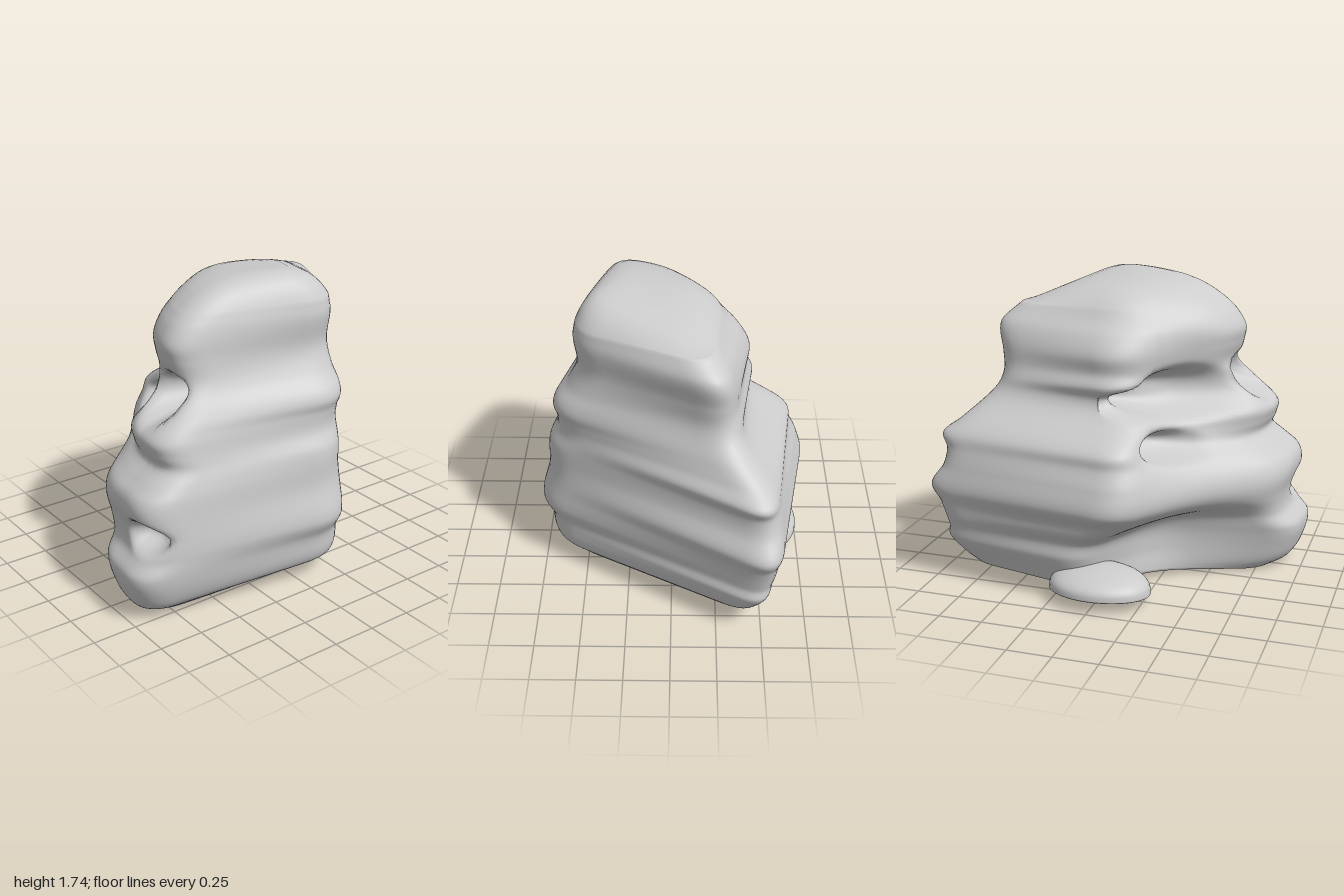
import * as THREE from 'three';

// Smooth lookup in a table of [height, value]
function sample(table, y) {
  const n = table.length;
  if (y <= table[0][0]) return table[0][1];
  if (y >= table[n - 1][0]) return table[n - 1][1];
  let i = 0;
  while (table[i + 1][0] < y) i++;
  const slope = (a, b) => (table[b][1] - table[a][1]) / (table[b][0] - table[a][0]);
  const m0 = i > 0 ? slope(i - 1, i + 1) : slope(i, i + 1);
  const m1 = i < n - 2 ? slope(i, i + 2) : slope(i, i + 1);
  const h = table[i + 1][0] - table[i][0];
  const t = (y - table[i][0]) / h, t2 = t * t, t3 = t2 * t;
  return table[i][1] * (2 * t3 - 3 * t2 + 1) + h * m0 * (t3 - 2 * t2 + t)
    + table[i + 1][1] * (3 * t2 - 2 * t3) + h * m1 * (t3 - t2);
}

// Reach of each corner of the weathered block, by height
const backZ = [[0, -0.78], [0.06, -0.85], [0.22, -0.92], [0.32, -0.91], [0.48, -0.95], [0.58, -1.0],
  [0.7, -0.92], [0.8, -0.9], [0.88, -0.93], [0.95, -0.84], [1.1, -0.68], [1.2, -0.63], [1.32, -0.64], [1.48, -0.66], [1.58, -0.56]];
const rightX = [[0, 0.56], [0.08, 0.67], [0.28, 0.7], [0.4, 0.75], [0.6, 0.7], [0.8, 0.69], [0.9, 0.64],
  [1.0, 0.64], [1.06, 0.66], [1.12, 0.64], [1.2, 0.57], [1.33, 0.51], [1.5, 0.53], [1.58, 0.52]];
const frontZ = [[0, 0.84], [0.06, 0.93], [0.15, 0.98], [0.28, 1.0], [0.37, 0.93], [0.48, 0.92], [0.62, 0.95], [0.7, 0.93],
  [0.76, 0.86], [0.83, 0.78], [0.9, 0.8], [0.98, 0.81], [1.1, 0.7], [1.23, 0.6], [1.35, 0.62], [1.43, 0.63], [1.52, 0.58], [1.58, 0.52]];
const leftX = [[0, -0.52], [0.2, -0.58], [0.32, -0.58], [0.4, -0.64], [0.47, -0.67], [0.56, -0.75], [0.7, -0.72], [0.8, -0.67],
  [0.88, -0.65], [1.0, -0.47], [1.06, -0.41], [1.12, -0.4], [1.18, -0.44], [1.25, -0.41], [1.35, -0.42], [1.45, -0.36], [1.52, -0.29], [1.58, -0.25]];
const backX = [[0, -0.46], [0.2, -0.53], [0.58, -0.57], [0.9, -0.53], [1.1, -0.38], [1.25, -0.33], [1.48, -0.29], [1.58, -0.22]];
const rightZ = [[0, -0.22], [0.8, -0.22], [1.1, -0.27], [1.58, -0.28]];
const frontX = [[0, 0.45], [0.1, 0.53], [0.3, 0.58], [0.65, 0.56], [0.95, 0.5], [1.25, 0.4], [1.58, 0.34]];
const shoulderX = [[0, 0.15], [0.25, 0.11], [0.42, 0.04], [0.55, 0.03], [0.75, 0.09], [1.0, 0.1], [1.25, 0.07], [1.58, 0.09]];
const leftZ = [[0, -0.1], [0.3, -0.05], [0.5, 0.15], [0.9, 0.19], [1.15, 0.12], [1.58, 0.06]];
const hollowX = [[0, -0.13], [0.36, -0.13], [0.5, -0.3], [0.6, -0.34], [0.75, -0.32], [0.9, -0.25], [1.1, -0.16], [1.5, -0.12], [1.58, -0.08]];
const hollowZ = [[0, 0.24], [0.15, 0.22], [0.37, 0.27], [0.48, 0.45], [0.6, 0.5], [0.75, 0.44], [0.9, 0.31],
  [1.0, 0.34], [1.1, 0.34], [1.25, 0.35], [1.45, 0.39], [1.58, 0.33]];

// Hollows worn into the front: x, y, half width, half height, depth, least z
const hollows = [
  [-0.13, 1.11, 0.2, 0.125, 0.26, -0.05],
  [-0.36, 1.09, 0.14, 0.075, 0.12, -0.05],
  [0.27, 1.14, 0.1, 0.105, 0.25, 0.2],
  [-0.32, 0.85, 0.155, 0.07, 0.17, 0],
  [0.46, 0.48, 0.105, 0.08, 0.15, 0.6],
];

// How far each corner is rounded: back, right, front, shoulder, hollow, left
const cuts = [0.21, 0.19, 0.19, 0.16, 0.18, 0.15];

// Rounded six-cornered cross-section at one height
function section(y) {
  const v2 = (x, z) => new THREE.Vector2(x, z);
  const front = sample(frontZ, y);
  const corners = [
    v2(sample(backX, y), sample(backZ, y) - 0.075),
    v2(sample(rightX, y) + 0.04, sample(rightZ, y)),
    v2(sample(frontX, y), front + 0.02),
    v2(sample(shoulderX, y), front - 0.035),
    v2(sample(hollowX, y), sample(hollowZ, y)),
    v2(sample(leftX, y) - 0.026, sample(leftZ, y)),
  ];
  const toward = (a, b, d) => a.clone().lerp(b, Math.min(d / a.distanceTo(b), 0.48));
  const pts = [];
  corners.forEach((c, i) => {
    const prev = corners[(i + 5) % 6], next = corners[(i + 1) % 6];
    const curve = new THREE.QuadraticBezierCurve(toward(c, prev, cuts[i]), c, toward(c, next, cuts[i]));
    pts.push(...curve.getPoints(9));
    const end = toward(next, c, cuts[(i + 1) % 6]);
    for (let k = 1; k < 22; k++) pts.push(curve.v2.clone().lerp(end, k / 22));
  });
  return pts;
}

function bodyGeometry() {
  const rings = [], top = 1.58, levels = 110;
  const lift = (y, z) => y + (0.05 - 0.06 * z) * (1 - THREE.MathUtils.smoothstep(y, 0, 0.4));
  // Underside
  const base = section(0);
  for (const s of [0, 0.3, 0.6, 0.85, 0.96]) {
    rings.push(base.map(p => [p.x * s, lift(0, p.y * s), p.y * s]));
  }
  // Layered sides with worn hollows
  for (let j = 0; j <= levels; j++) {
    const y = top * j / levels;
    rings.push(section(y).map(p => {
      const py = lift(y, p.y);
      let z = p.y;
      for (const [hx, hy, rx, ry, depth, minZ] of hollows) {
        const q = ((p.x - hx) / rx) ** 2 + ((py - hy) / ry) ** 2;
        z -= depth * Math.exp(-q * q) * THREE.MathUtils.smoothstep(p.y, minZ, minZ + 0.15);
      }
      return [p.x, py, z];
    }));
  }
  // Sloping crown
  const rim = section(top);
  for (const s of [0.985, 0.965, 0.94, 0.91, 0.87, 0.82, 0.75, 0.65, 0.5, 0.35, 0.18, 0]) {
    rings.push(rim.map(p => {
      const x = 0.15 + (p.x - 0.15) * s, z = p.y * s;
      const crown = 1.725 + 0.12 * (x - 0.2) - 0.28 * z * z;
      return [x, top + (crown - top) * (1 - s ** 5), z];
    }));
  }
  const n = rim.length, index = [];
  for (let j = 0; j < rings.length - 1; j++) {
    for (let i = 0; i < n; i++) {
      const a = j * n + i, b = j * n + (i + 1) % n, c = a + n, d = b + n;
      index.push(a, c, d, a, d, b);
    }
  }
  const geometry = new THREE.BufferGeometry();
  geometry.setAttribute('position', new THREE.Float32BufferAttribute(rings.flat(2), 3));
  geometry.setIndex(index);
  geometry.computeVertexNormals();
  return geometry;
}

// Flat-bottomed pebble, thinner at its outer end
function pebbleGeometry() {
  const geometry = new THREE.SphereGeometry(1, 40, 24);
  const p = geometry.attributes.position;
  for (let i = 0; i < p.count; i++) {
    const x = p.getX(i), y = p.getY(i), z = p.getZ(i);
    const height = y > 0 ? 0.14 * y ** 0.7 * (0.95 + 0.25 * x) : 0.03 * y;
    p.setXYZ(i, x * 0.215, height - 0.02 * x, z * 0.29);
  }
  geometry.computeVertexNormals();
  return geometry;
}

export function createModel() {
  const stone = new THREE.MeshStandardMaterial({ color: 0xcccccc });
  stone.name = 'pale grey stone';
  const model = new THREE.Group();
  model.name = 'weatheredRock';

  const body = new THREE.Mesh(bodyGeometry(), stone);
  body.name = 'rockBody';
  model.add(body);

  const pebble = new THREE.Mesh(pebbleGeometry(), stone);
  pebble.name = 'looseStone';
  pebble.position.set(-0.535, 0.06, 0.01);
  model.add(pebble);
  return model;
}
